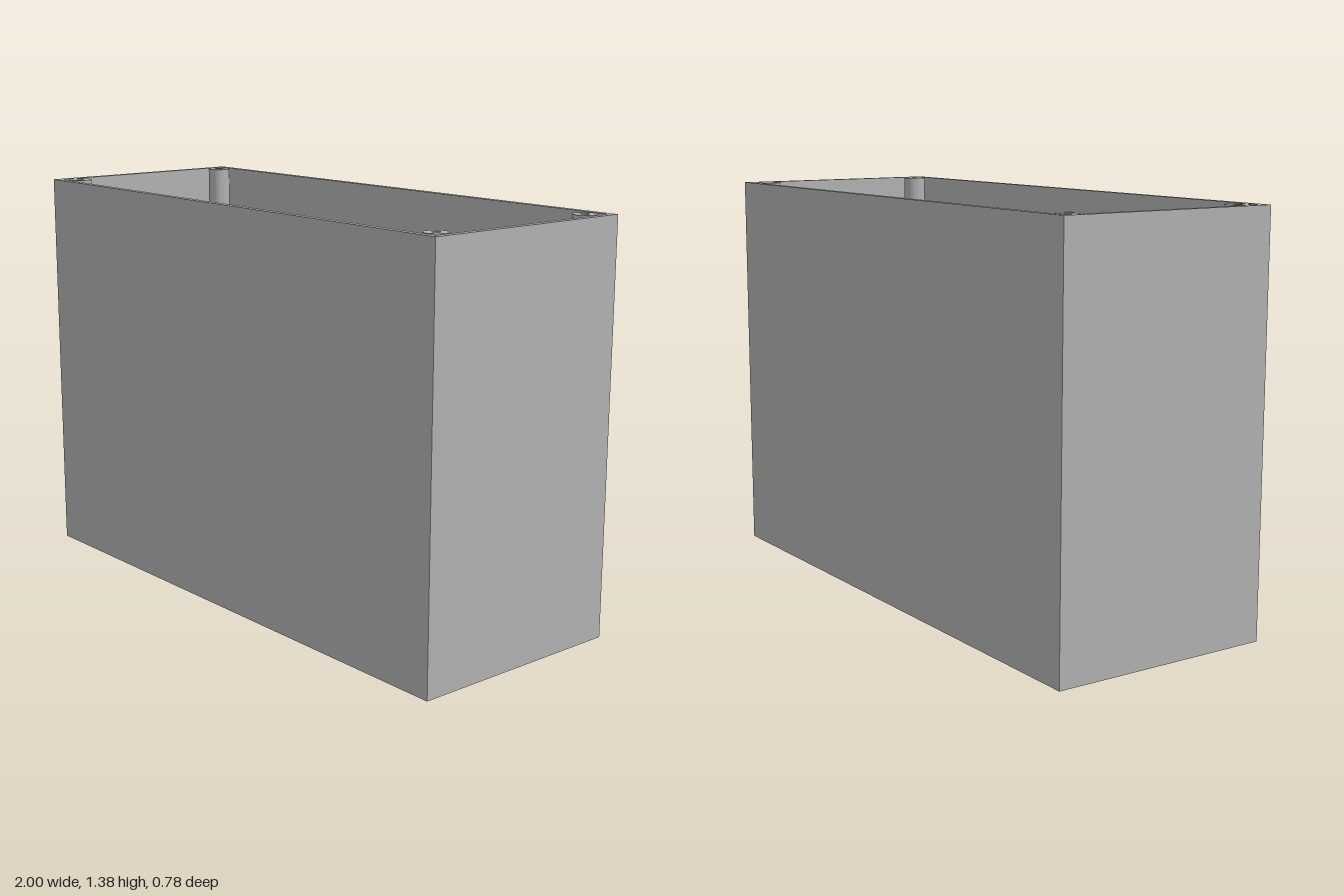
import * as THREE from 'three';
import { toCreasedNormals } from 'three/addons/utils/BufferGeometryUtils.js';

const WIDTH = 2, DEPTH = 0.776, HEIGHT = 1.375, WALL = 0.022, FLOOR = 0.022;

// Closed rectangle between two corners, in plan (x, z)
function rect(Type, x0, z0, x1, z1) {
  return new Type([[x0, -z1], [x1, -z1], [x1, -z0], [x0, -z0]].map(([x, y]) => new THREE.Vector2(x, y)));
}

// Extrude a plan shape upwards from y0 to y1
function rise(shape, y0, y1) {
  const geometry = new THREE.ExtrudeGeometry(shape, { depth: y1 - y0, bevelEnabled: false, curveSegments: 24 });
  return geometry.rotateX(-Math.PI / 2).translate(0, y0, 0);
}

export function createModel() {
  const model = new THREE.Group();
  model.name = 'enclosure';
  const grey = new THREE.MeshStandardMaterial({ color: 0xb2b2b2 });
  grey.name = 'grey plastic';

  const add = (name, geometry) => {
    const mesh = new THREE.Mesh(geometry, grey);
    mesh.name = name;
    model.add(mesh);
    return mesh;
  };

  // Four side walls, open at the top
  const hx = WIDTH / 2, hz = DEPTH / 2, ix = hx - WALL, iz = hz - WALL;
  const wallShape = rect(THREE.Shape, -hx, -hz, hx, hz);
  wallShape.holes.push(rect(THREE.Path, -ix, -iz, ix, iz));
  add('walls', rise(wallShape, 0, HEIGHT));

  // Floor with seven vent slots and a socket opening
  const floorShape = rect(THREE.Shape, -ix, -iz, ix, iz);
  for (let i = 0; i < 7; i++) {
    const x = -0.6 + i * 0.1927;
    floorShape.holes.push(rect(THREE.Path, x - 0.02, -0.262, x + 0.02, 0.043));
  }
  floorShape.holes.push(rect(THREE.Path, -0.1, 0.172, 0.097, 0.283));
  add('floor', rise(floorShape, 0, FLOOR));

  // Hollow screw posts in the corners
  const postShape = new THREE.Shape().absarc(0, 0, 0.04, 0, Math.PI * 2);
  postShape.holes.push(new THREE.Path().absarc(0, 0, 0.0135, 0, Math.PI * 2, true));
  const postGeometry = toCreasedNormals(rise(postShape, FLOOR, HEIGHT), 0.6);
  for (const sx of [-1, 1]) {
    for (const sz of [-1, 1]) {
      add('screwPost', postGeometry).position.set(sx * 0.93, 0, sz * 0.317);
    }
  }

  return model;
}
